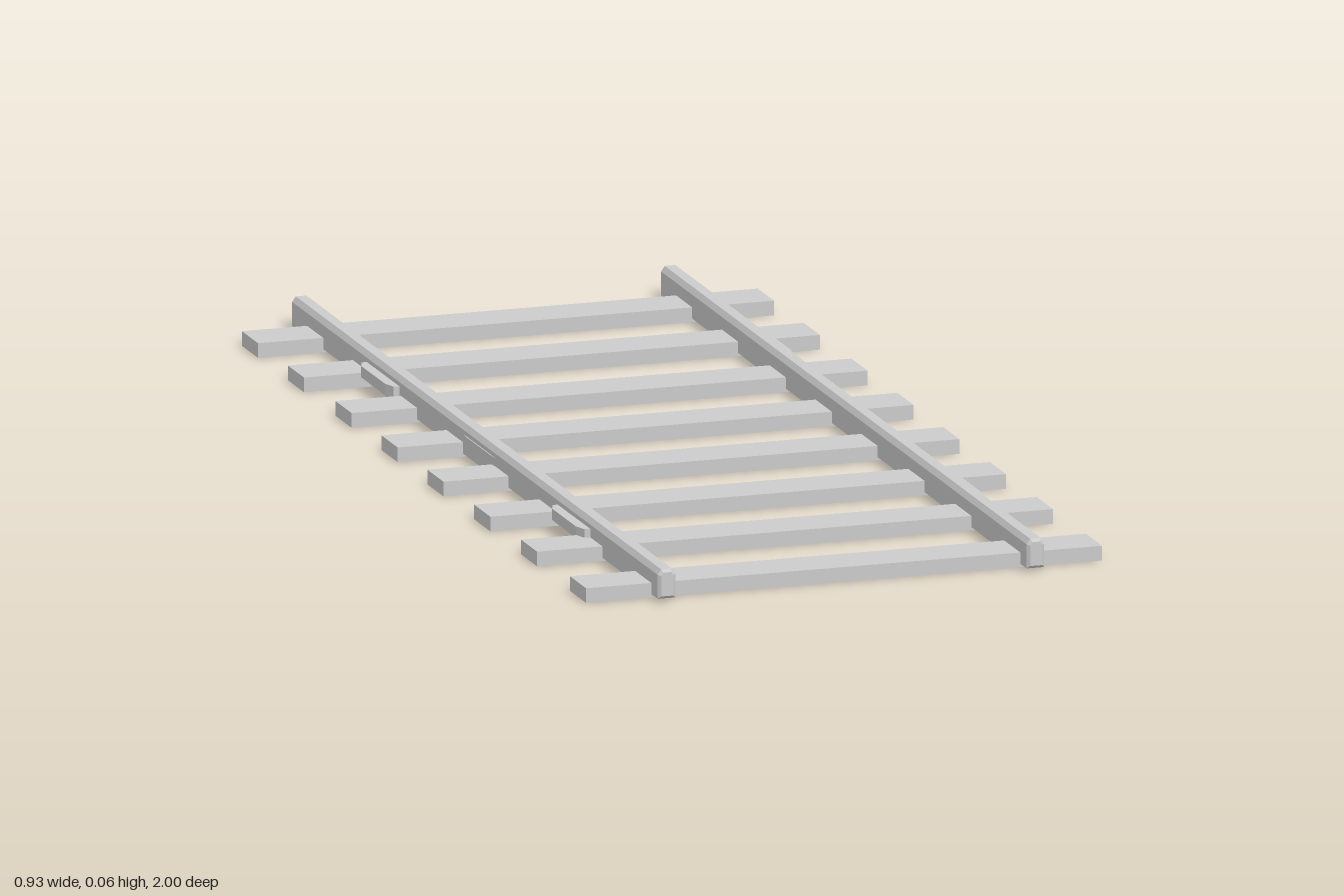
import * as THREE from 'three';

const material = new THREE.MeshStandardMaterial({ color: 0xcccccc, flatShading: true, side: THREE.DoubleSide });

function add(parent, name, geometry, x = 0, y = 0, z = 0) {
  const mesh = new THREE.Mesh(geometry, material);
  mesh.name = name;
  mesh.position.set(x, y, z);
  parent.add(mesh);
  return mesh;
}

// Box without its underside, so the tie is hollow from below
function openBox(w, h, d) {
  const geometry = new THREE.BoxGeometry(w, h, d);
  const index = Array.from(geometry.index.array);
  index.splice(18, 6);
  geometry.setIndex(index);
  geometry.clearGroups();
  return geometry;
}

// Rail bar with chamfered head and slightly bevelled ends
function railGeometry() {
  const shape = new THREE.Shape([
    [-0.011, 0.011], [0.011, 0.011], [0.011, 0.047],
    [0.007, 0.053], [-0.007, 0.053], [-0.011, 0.047],
  ].map(([x, y]) => new THREE.Vector2(x, y)));
  const bevel = 0.005;
  const geometry = new THREE.ExtrudeGeometry(shape, {
    depth: 2 - 2 * bevel, bevelThickness: bevel, bevelSize: bevel, bevelSegments: 1,
  });
  return geometry.translate(0, 0, -1 + bevel);
}

// Joint plate, a flat trapezoid tapering outward from the rail
function plateGeometry(reach) {
  const shape = new THREE.Shape([
    [0, -0.09], [reach * 0.6, -0.088], [reach, -0.065],
    [reach, 0.065], [reach * 0.6, 0.088], [0, 0.09],
  ].map(([x, z]) => new THREE.Vector2(x, -z)));
  const geometry = new THREE.ExtrudeGeometry(shape, { depth: 0.02, bevelEnabled: false });
  return geometry.rotateX(-Math.PI / 2);
}

export function createModel() {
  const group = new THREE.Group();
  group.name = 'railwayTrack';

  // Cross ties
  const tie = openBox(0.934, 0.026, 0.088);
  [-0.87, -0.62, -0.36, -0.11, 0.14, 0.395, 0.65, 0.917].forEach((z, i) =>
    add(group, `tie${i + 1}`, tie, -0.001, 0.013, z));

  // Rails with joint plates on their outer sides
  const rail = railGeometry();
  for (const side of [1, -1]) {
    const name = side > 0 ? 'left' : 'right';
    add(group, `${name}Rail`, rail, side * 0.334, 0, 0);
    [[-0.5, 0.02], [0.025, 0.004], [0.54, 0.02]].forEach(([z, reach], i) => {
      const plate = add(group, `${name}JointPlate${i + 1}`, plateGeometry(reach), side * 0.348, 0.021, z);
      if (side < 0) plate.rotation.y = Math.PI;
    });
  }
  return group;
}
